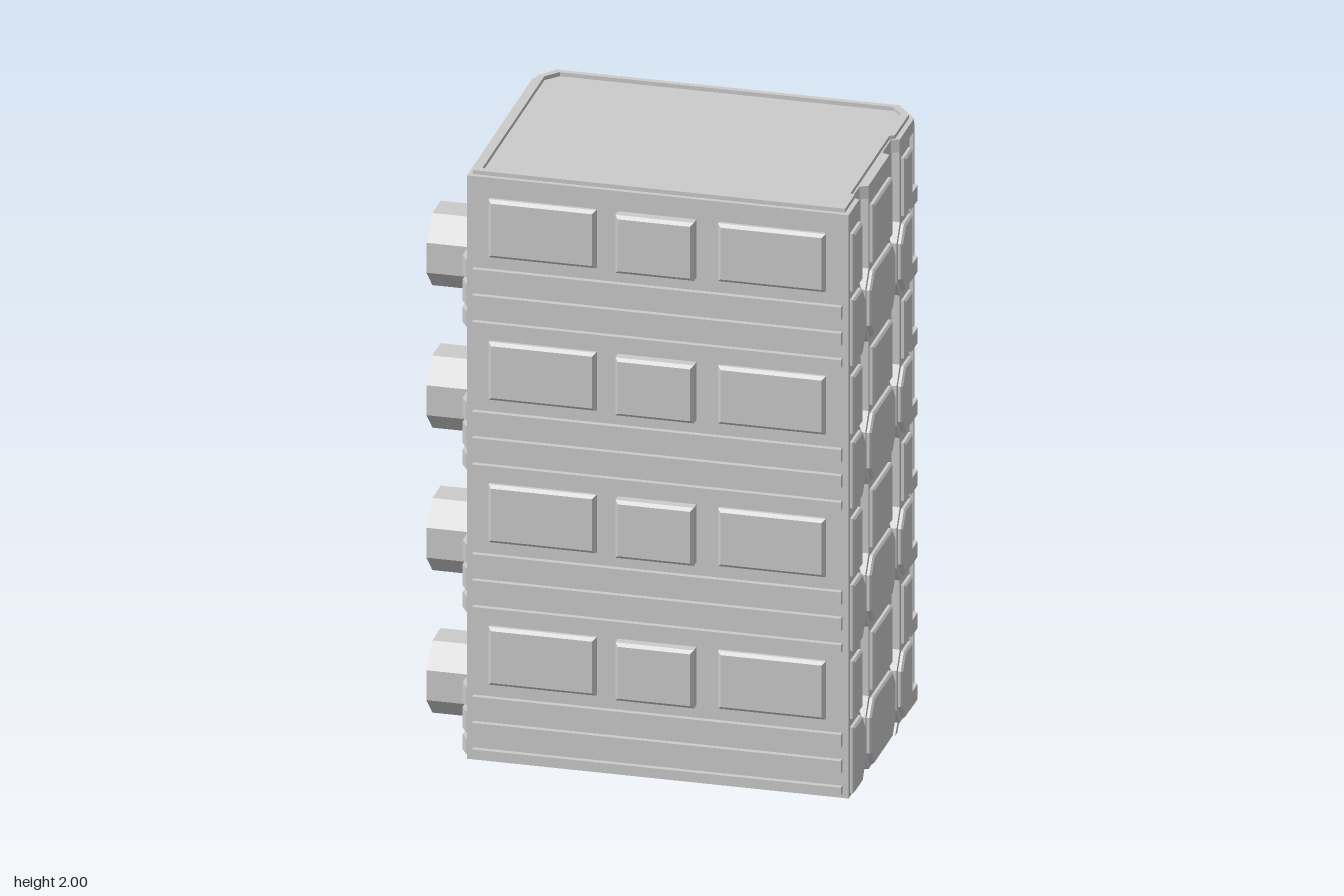
import * as THREE from 'three';

const mat = new THREE.MeshStandardMaterial({ color: 0xcccccc, flatShading: true, side: THREE.DoubleSide });
const CELL = 0.467, BASE = 0.075, FLOOR = CELL / 2;

function add(parent, name, geo) {
  const m = new THREE.Mesh(geo, mat);
  m.name = name;
  parent.add(m);
  return m;
}

// Box given by its limits
function block(parent, name, x0, x1, y0, y1, z0, z1) {
  const g = new THREE.BoxGeometry(x1 - x0, y1 - y0, z1 - z0);
  g.translate((x0 + x1) / 2, (y0 + y1) / 2, (z0 + z1) / 2);
  return add(parent, name, g);
}

function extrude(pts, depth, bevel = 0, hole = null) {
  const s = new THREE.Shape(pts.map(p => new THREE.Vector2(p[0], p[1])));
  if (hole) s.holes.push(new THREE.Path(hole.map(p => new THREE.Vector2(p[0], p[1]))));
  return new THREE.ExtrudeGeometry(s, {
    depth: depth - bevel, bevelEnabled: bevel > 0, bevelSize: bevel,
    bevelThickness: bevel, bevelOffset: -bevel, bevelSegments: 1
  });
}

// Outline of [x, z] points extruded upward from y0 to y1
function plan(parent, name, pts, y0, y1, hole) {
  const flip = a => a.map(p => [p[0], -p[1]]);
  const g = extrude(flip(pts), y1 - y0, 0, hole && flip(hole));
  g.rotateX(-Math.PI / 2).translate(0, y0, 0);
  return add(parent, name, g);
}

// Outline of [z, y] points extruded along x from x0 to x1
function side(parent, name, pts, x0, x1, bevel = 0) {
  const g = extrude(pts.map(p => [-p[0], p[1]]), x1 - x0, bevel);
  g.rotateY(Math.PI / 2).translate(x0, 0, 0);
  return add(parent, name, g);
}

const rect = (a0, a1, b0, b1) => [[a0, b0], [a1, b0], [a1, b1], [a0, b1]];

// Front panels and ribs for one storey
function frontStorey(g, y) {
  for (const [x0, x1, z] of [[-0.44, -0.105, 0.415], [-0.04, 0.205, 0.433], [0.275, 0.61, 0.415]]) {
    const p = extrude(rect(x0, x1, y + 0.255, y + 0.445), z - 0.38, 0.01);
    p.translate(0, 0, 0.38);
    add(g, 'frontPanel', p);
  }
  for (const [a, b] of [[0.015, 0.04], [0.085, 0.127], [0.17, 0.213]])
    block(g, 'frontRib', -0.49, 0.66, y + a, y + b, 0.38, 0.412);
}

// Columns of the left wall: [front z, back z, front edge bulges, back edge bulges]
const COLUMNS = [[0.395, 0.27, 0, 1], [0.162, -0.083, 1, 1], [-0.205, -0.32, 1, 0]];

function leftWall(g) {
  for (const [zf, zb, f, b] of COLUMNS) {
    const front = [], back = [];
    const bulge = 0.037;
    for (let i = 0; i < 4; i++) {
      const y = BASE + i * CELL;
      for (const [dy, w] of [[0, 0], [0.055, 1], [0.185, 1], [0.24, 0]]) {
        front.push([zf + f * w * bulge, y + dy]);
        back.push([zb - b * w * bulge, y + dy]);
      }
    }
    front.push([zf, 1.985]);
    back.push([zb, 1.985]);
    side(g, 'wallColumn', [...front, ...back.reverse()], 0.64, 0.68);

    // Raised plates on the column
    const pf = zf - 0.014, pb = zb + 0.014;
    for (let i = 0; i < 4; i++) {
      const y = BASE + i * CELL, wf = f * bulge, wb = b * bulge;
      side(g, 'wallPanel', rect(pf, pb, y + 0.255, y + 0.445), 0.67, 0.695, 0.006);
      side(g, 'bulgedWallPlate', [
        [pf, y + 0.012], [pf + wf, y + 0.062], [pf + wf, y + 0.178], [pf, y + 0.228],
        [pb, y + 0.228], [pb - wb, y + 0.178], [pb - wb, y + 0.062], [pb, y + 0.012]
      ], 0.67, 0.695, 0.006);
    }
  }
}

// Right wall: octagonal pipe, ribs beside it and rows of small bricks above
function rightStorey(g, y) {
  const pipe = new THREE.CylinderGeometry(0.128, 0.128, 0.2, 8, 1);
  pipe.rotateY(Math.PI / 8).rotateZ(Math.PI / 2).translate(-0.602, y + 0.118, 0.03);
  add(g, 'pipe', pipe);
  for (const [z0, z1] of [[-0.31, -0.12], [0.18, 0.37]])
    for (const [a, b] of [[0.005, 0.055], [0.075, 0.145], [0.165, 0.225]]) {
      const out = z0 < 0 ? z0 : z1, inn = z0 < 0 ? z1 : z0, d = Math.sign(out);
      plan(g, 'pipeRib', [[-0.5, out], [-0.52, out], [-0.538, out - d * 0.03],
        [-0.538, inn], [-0.5, inn]], y + a, y + b);
    }
  [[0.255, 0.295], [0.315, 0.365], [0.385, 0.445]].forEach(([a, b], row) => {
    const n = row === 1 ? 4 : 5, pitch = 0.68 / n;
    for (let k = 0; k < n; k++) {
      const z = -0.3 + k * pitch;
      block(g, 'wallBrick', -0.518, -0.5, y + a, y + b, z + 0.012, z + pitch - 0.012);
    }
  });
}

// Back: shelves, wavy central pillar, windows, struts and corner posts
function back(g) {
  const outline = [[-0.515, -0.31], [-0.515, -0.395], [-0.49, -0.42], [-0.39, -0.42], [-0.36, -0.405],
    [-0.06, -0.405], [-0.03, -0.42], [0.2, -0.42], [0.23, -0.405], [0.53, -0.405], [0.56, -0.42],
    [0.66, -0.42], [0.685, -0.395], [0.685, -0.31]];
  for (let i = 0; i < 8; i++) {
    const y = BASE + i * FLOOR;
    plan(g, 'shelf', outline, y, y + 0.05);
    const d = i % 2 ? 0.375 : 0.425;
    side(g, 'pillarSegment', [[-0.31, y + 0.03], [-0.4, y + 0.03], [-0.4, y + 0.055], [-d, y + 0.095],
      [-d, y + 0.175], [-0.4, y + 0.22], [-0.4, y + FLOOR + 0.01], [-0.31, y + FLOOR + 0.01]], 0.055, 0.115);
    if (i % 2) {
      for (const x of [-0.23, 0.4])
        block(g, 'backPanel', x - 0.14, x + 0.14, y + 0.085, y + 0.19, -0.332, -0.31);
    } else {
      for (const x of [-0.44, 0.62])
        side(g, 'strut', [[-0.275, y - 0.075], [-0.3, y - 0.075], [-0.385, y + 0.01],
          [-0.35, y + 0.01]], x - 0.027, x + 0.027);
    }
  }
  for (const x of [-0.495, 0.665])
    block(g, 'cornerPost', x - 0.007, x + 0.007, BASE, 1.96, -0.41, -0.396);
}

export function createModel() {
  const model = new THREE.Group();
  model.name = 'storeyBlock';
  const group = name => {
    const g = new THREE.Group();
    g.name = name;
    model.add(g);
    return g;
  };

  // Hollow main shell, open underneath
  const ring = rect(-0.51, 0.655, -0.325, 0.395);
  plan(model, 'shell', ring, BASE, 1.97, rect(-0.5, 0.645, -0.315, 0.385));
  block(model, 'frontCorner', 0.64, 0.68, BASE, 1.985, 0.375, 0.395);

  // Roof slab with grooved left edge, and a thin raised rim
  const roof = [[-0.51, 0.395], [-0.51, -0.375], [-0.46, -0.432], [0.63, -0.432], [0.68, -0.375],
    [0.68, -0.205], [0.655, -0.195], [0.655, -0.095], [0.68, -0.083], [0.68, 0.162], [0.655, 0.175],
    [0.655, 0.26], [0.68, 0.27], [0.68, 0.395]];
  plan(model, 'roof', roof, 1.945, 1.987);
  const rim = [[-0.495, 0.38], [-0.495, -0.37], [-0.45, -0.43], [0.62, -0.43], [0.665, -0.37],
    [0.665, -0.205], [0.65, -0.195], [0.65, 0.26], [0.665, 0.27], [0.665, 0.38]];
  const inner = [[-0.472, 0.358], [-0.472, -0.37], [-0.435, -0.412], [0.605, -0.412],
    [0.64, -0.37], [0.64, 0.358]];
  plan(model, 'roofRim', rim, 1.98, 2, inner);

  const front = group('frontWall'), right = group('rightWall');
  for (let i = 0; i < 4; i++) {
    frontStorey(front, BASE + i * CELL);
    rightStorey(right, BASE + i * CELL);
  }
  leftWall(group('leftWall'));
  back(group('backWall'));
  return model;
}
